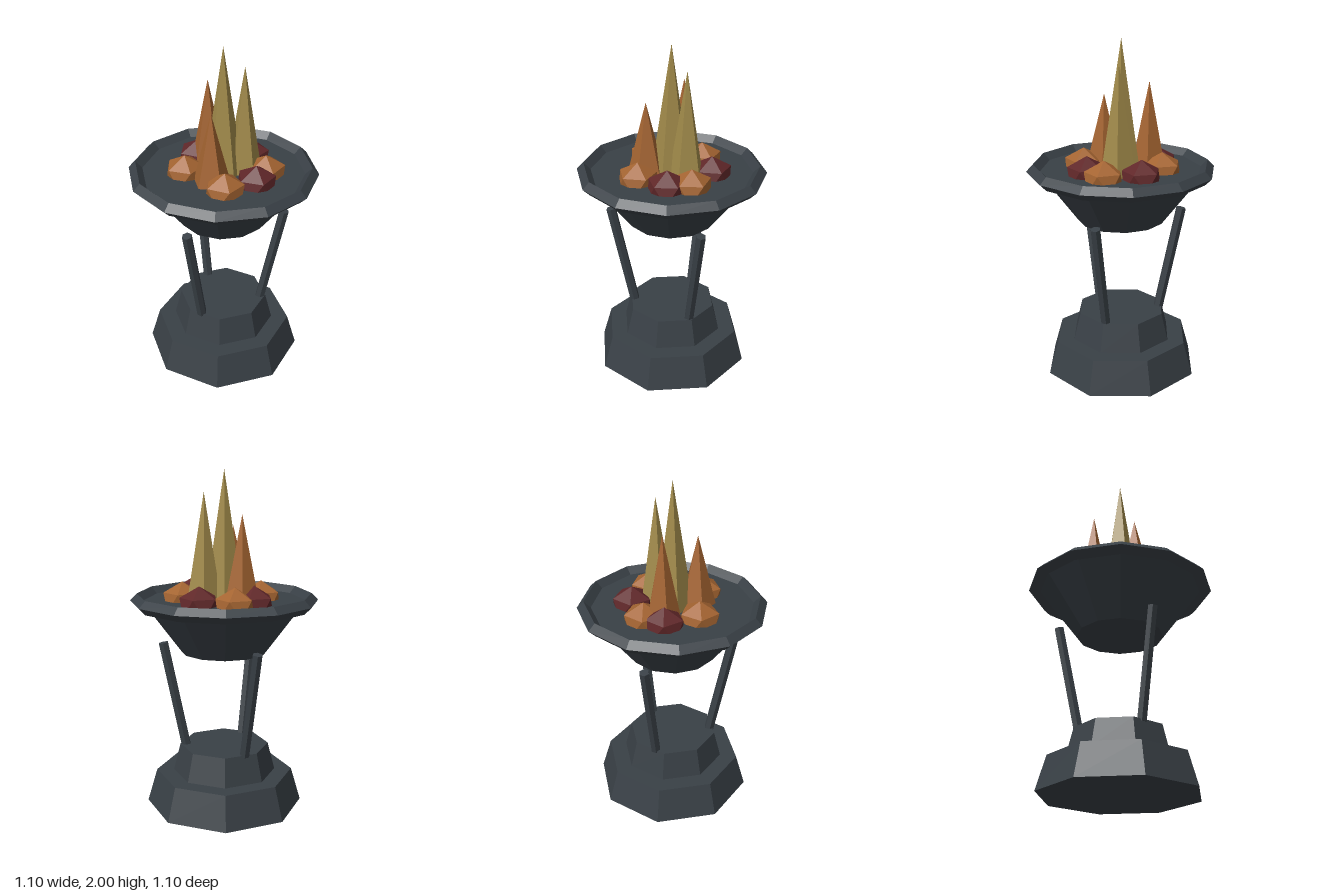
import * as THREE from 'three';

const mat = (name, color) => {
  const m = new THREE.MeshStandardMaterial({ color, flatShading: true });
  m.name = name;
  return m;
};

export function createModel() {
  const iron = mat('dark iron', 0x394046);
  const orange = mat('ember orange', 0xa46431);
  const yellow = mat('flame yellow', 0xa18a4a);
  const red = mat('coal red', 0x602729);

  const model = new THREE.Group();
  model.name = 'brazier';

  const add = (name, geometry, material, x = 0, y = 0, z = 0) => {
    const mesh = new THREE.Mesh(geometry, material);
    mesh.name = name;
    mesh.position.set(x, y, z);
    model.add(mesh);
    return mesh;
  };

  // Stepped octagonal base
  add('lowerBase', new THREE.CylinderGeometry(0.41, 0.468, 0.2, 8), iron, 0, 0.1, 0);
  add('upperBase', new THREE.CylinderGeometry(0.265, 0.307, 0.167, 8), iron, 0, 0.2835, 0);

  // Three struts leaning outwards
  for (let i = 0; i < 3; i++) {
    const pivot = new THREE.Group();
    pivot.name = 'strut';
    const leg = new THREE.Mesh(new THREE.CylinderGeometry(0.03, 0.03, 0.65, 6), iron);
    leg.name = 'strutBar';
    leg.position.set(0.295, 0.677, 0);
    leg.rotation.z = -0.2;
    pivot.add(leg);
    pivot.rotation.y = (i * Math.PI * 2) / 3;
    model.add(pivot);
  }

  // Twelve-sided bowl, filled to the rim line
  add('bowl', new THREE.CylinderGeometry(0.485, 0.255, 0.305, 12), iron, 0, 1.0975, 0);
  add('rim', new THREE.TorusGeometry(0.51, 0.04, 4, 12).rotateX(Math.PI / 2), iron, 0, 1.25, 0);

  // Coals: icosahedra standing on a corner, half sunk in the bowl
  const coalShape = new THREE.IcosahedronGeometry(1, 0)
    .rotateX(-Math.atan((1 + Math.sqrt(5)) / 2))
    .rotateY(Math.PI / 2)
    .scale(0.124, 0.115, 0.124);
  const coals = [
    [0.244, 0, orange, 0.1], [0.195, 0.128, red, 0.1], [0.026, 0.228, orange, 0],
    [-0.217, 0.037, orange, 0.1], [-0.165, -0.165, red, 0],
    [-0.056, -0.232, orange, 0], [0.144, -0.185, red, 0],
  ];
  for (const [x, z, material, turn] of coals) {
    add('coal', coalShape, material, x, 1.245, z).rotation.y = turn;
  }

  // Flames: five-sided spikes [x, z, tip height, radius]
  const flames = [
    [0, 0, 2, 0.117, yellow], [0.116, -0.036, 1.875, 0.104, yellow],
    [-0.098, -0.132, 1.755, 0.104, orange], [-0.056, 0.132, 1.67, 0.108, orange],
  ];
  for (const [x, z, tip, radius, material] of flames) {
    const height = tip - 1.25;
    const flame = add('flame', new THREE.ConeGeometry(radius, height, 5), material, x, 1.25 + height / 2, z);
    flame.rotation.y = Math.PI;
  }

  return model;
}
